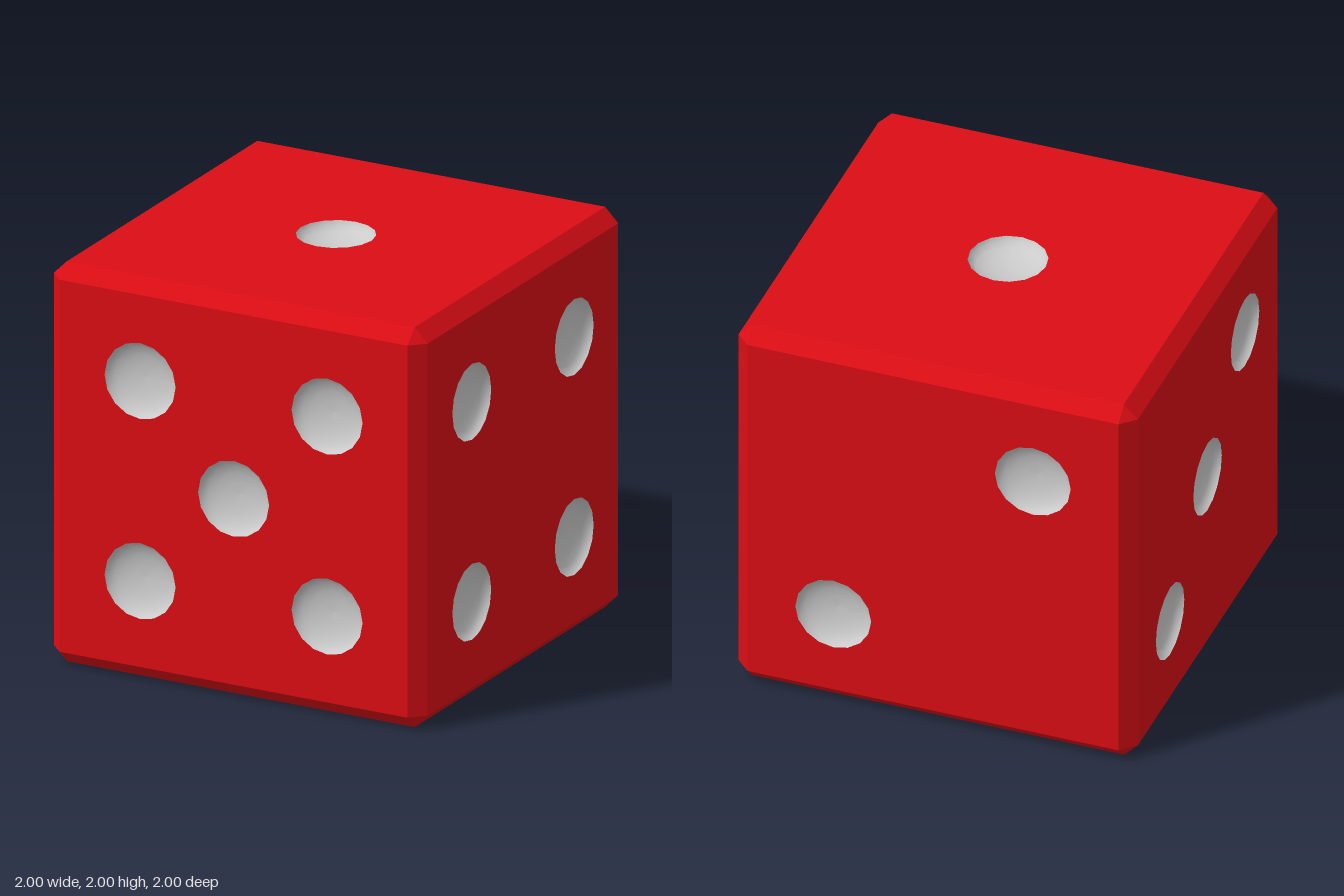
import * as THREE from 'three';
import { mergeGeometries } from 'three/addons/utils/BufferGeometryUtils.js';

const HALF = 1, BEVEL = 0.07, FLAT = HALF - BEVEL;
const PIP_R = 0.19, PIP_DEPTH = 0.07, SIDES = 16, STEP = 0.5;

// Pip layouts in each face's own right/up directions
const diagonal = [[1, 1], [-1, -1]];
const four = [...diagonal, [1, -1], [-1, 1]];
const nine = [...four, [0, 0], [1, 0], [-1, 0], [0, 1], [0, -1]];
const FACES = [
  { name: 'front', rot: [0, 0], pips: [...four, [0, 0]] },
  { name: 'right', rot: [0, Math.PI / 2], pips: four },
  { name: 'back', rot: [0, Math.PI], pips: diagonal },
  { name: 'left', rot: [0, -Math.PI / 2], pips: [...diagonal, [0, 0]] },
  { name: 'top', rot: [-Math.PI / 2, 0], pips: [[0, 0]] },
  { name: 'bottom', rot: [Math.PI / 2, 0], pips: nine },
];

function plain(geometry) {
  const g = geometry.index ? geometry.toNonIndexed() : geometry;
  g.deleteAttribute('uv');
  return g;
}

// Flat square face with a round opening for every pip
function faceGeometry({ rot, pips }) {
  const f = FLAT;
  const shape = new THREE.Shape([[-f, -f], [f, -f], [f, f], [-f, f]].map(p => new THREE.Vector2(...p)));
  for (const [u, v] of pips) {
    const rim = [];
    for (let i = 0; i < SIDES; i++) {
      const a = (-i / SIDES) * Math.PI * 2;
      rim.push(new THREE.Vector2(u * STEP + PIP_R * Math.cos(a), v * STEP + PIP_R * Math.sin(a)));
    }
    shape.holes.push(new THREE.Path(rim));
  }
  return plain(new THREE.ShapeGeometry(shape).translate(0, 0, HALF).rotateX(rot[0]).rotateY(rot[1]));
}

// Sloped strip along one edge; the direction has one zero component
function edgeGeometry(dir) {
  const long = 2 * FLAT, short = BEVEL * Math.SQRT2;
  const strip = dir.y === 0 ? new THREE.PlaneGeometry(short, long) : new THREE.PlaneGeometry(long, short);
  const holder = new THREE.Object3D();
  holder.lookAt(dir);
  holder.position.copy(dir).multiplyScalar(HALF - BEVEL / 2);
  holder.updateMatrix();
  return plain(strip.applyMatrix4(holder.matrix));
}

// Small triangle closing one corner
function cornerGeometry({ x, y, z }) {
  const points = [
    new THREE.Vector3(x * HALF, y * FLAT, z * FLAT),
    new THREE.Vector3(x * FLAT, y * HALF, z * FLAT),
    new THREE.Vector3(x * FLAT, y * FLAT, z * HALF),
  ];
  if (x * y * z < 0) points.reverse();
  const g = new THREE.BufferGeometry().setFromPoints(points);
  g.computeVertexNormals();
  return g;
}

export function createModel() {
  const model = new THREE.Group();
  model.name = 'die';
  const red = new THREE.MeshStandardMaterial({ color: 0xdb0d14 });
  const grey = new THREE.MeshStandardMaterial({ color: 0xcccccc });

  // Chamfered body
  const parts = FACES.map(faceGeometry);
  for (const x of [-1, 0, 1]) for (const y of [-1, 0, 1]) for (const z of [-1, 0, 1]) {
    const dir = new THREE.Vector3(x, y, z), count = dir.lengthSq();
    if (count === 2) parts.push(edgeGeometry(dir));
    if (count === 3) parts.push(cornerGeometry(dir));
  }
  const body = new THREE.Mesh(mergeGeometries(parts), red);
  body.name = 'body';
  body.position.y = HALF;
  model.add(body);

  // Shallow bowl set into each opening
  const profile = [];
  for (let i = 0; i <= 5; i++) {
    const t = (i / 5) * Math.PI / 2;
    profile.push(new THREE.Vector2(i === 5 ? 0 : PIP_R * Math.cos(t), -PIP_DEPTH * Math.sin(t)));
  }
  const bowl = new THREE.LatheGeometry(profile, SIDES).rotateX(Math.PI / 2);
  for (const { name, rot, pips } of FACES) {
    const group = new THREE.Group();
    group.name = name + 'Pips';
    group.rotation.set(rot[0], rot[1], 0);
    group.position.y = HALF;
    for (const [u, v] of pips) {
      const pip = new THREE.Mesh(bowl, grey);
      pip.name = 'pip';
      pip.position.set(u * STEP, v * STEP, HALF);
      group.add(pip);
    }
    model.add(group);
  }
  return model;
}
